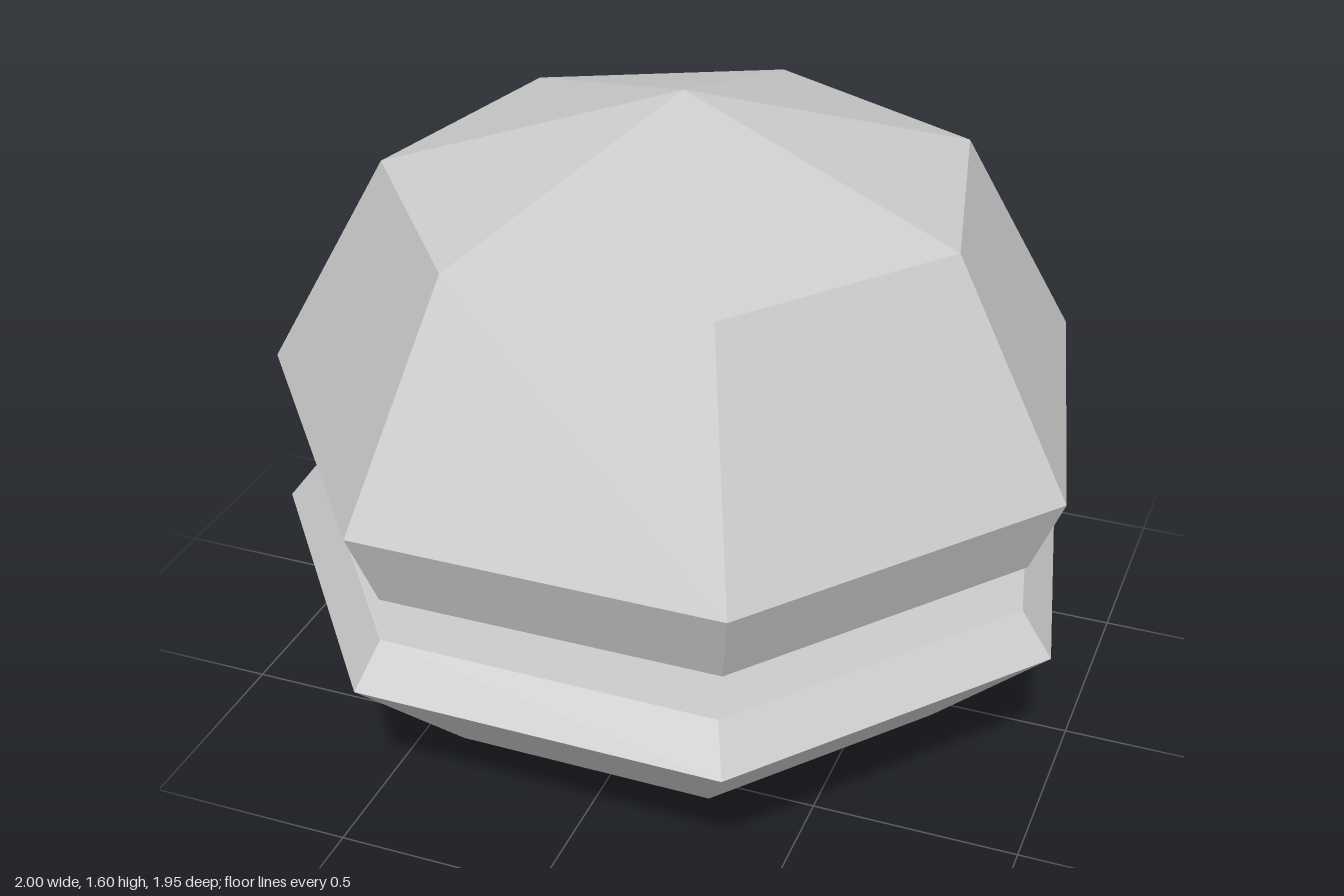
import * as THREE from 'three';

const SIDES = 7;

// Closed seven-sided solid turned from a [radius, height] profile, listed bottom to top
function facetedSolid(name, profile) {
  const points = profile.map(([r, y]) => new THREE.Vector2(r, y));
  // phiStart = PI puts one corner at the back and a flat side at the front
  const geometry = new THREE.LatheGeometry(points, SIDES, Math.PI);
  const material = new THREE.MeshStandardMaterial({ color: 0xcccccc, flatShading: true });
  const mesh = new THREE.Mesh(geometry, material);
  mesh.name = name;
  mesh.position.z = 0.05; // centres the odd-sided outline on z = 0
  return mesh;
}

export function createModel() {
  const group = new THREE.Group();
  group.name = 'splitBun';

  // Domed top half with a flat underside
  const topBun = facetedSolid('topBun', [
    [0, 0.635], [0.945, 0.635], [1.026, 0.83], [0.725, 1.375], [0, 1.595],
  ]);

  // Shallow bottom half with a flat top, turned very slightly
  const bottomBun = facetedSolid('bottomBun', [
    [0, 0], [0.725, 0.125], [1.026, 0.415], [0.945, 0.52], [0, 0.52],
  ]);
  bottomBun.rotation.y = -0.009;

  group.add(topBun, bottomBun);
  return group;
}
